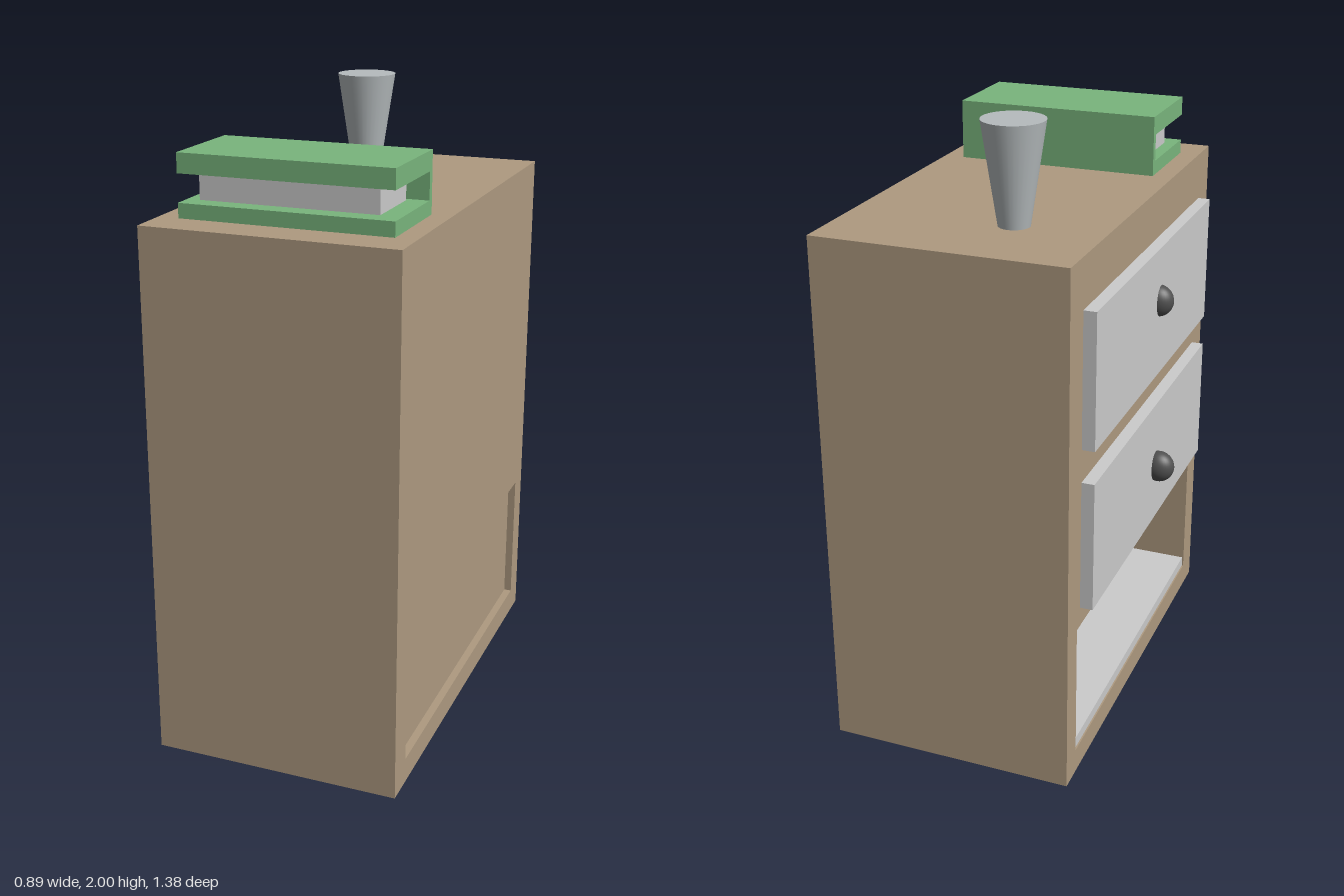
import * as THREE from 'three';

const mat = (color) => new THREE.MeshStandardMaterial({ color });

export function createModel() {
  const root = new THREE.Group();
  const brown = mat(0xae9a80), grey = mat(0xcccccc), green = mat(0x79b57d);
  const dark = mat(0x505050), glass = mat(0xb6bcbe);

  const add = (name, geometry, material, parent = root) => {
    const mesh = new THREE.Mesh(geometry, material);
    mesh.name = name;
    parent.add(mesh);
    return mesh;
  };
  // Box given by its lower and upper limits on each axis
  const box = (name, [x0, x1], [y0, y1], [z0, z1], material, parent) => {
    const g = new THREE.BoxGeometry(x1 - x0, y1 - y0, z1 - z0);
    g.translate((x0 + x1) / 2, (y0 + y1) / 2, (z0 + z1) / 2);
    return add(name, g, material, parent);
  };
  const rect = (path, a0, a1, b0, b1) =>
    path.moveTo(a0, b0).lineTo(a1, b0).lineTo(a1, b1).lineTo(a0, b1).closePath();

  // Cabinet body, with the lower compartment cut through along x
  const cabinet = new THREE.Group();
  cabinet.name = 'cabinet';
  root.add(cabinet);
  const side = new THREE.Shape();
  rect(side, -0.69, 0.69, 0, 1.69);
  const opening = new THREE.Path();
  rect(opening, -0.595, 0.61, 0.08, 0.52);
  side.holes.push(opening);
  const body = new THREE.ExtrudeGeometry(side, { depth: 0.79, bevelEnabled: false });
  body.rotateY(Math.PI / 2).translate(-0.345, 0, 0);
  add('cabinetBody', body, brown, cabinet);
  box('recessedPanel', [0.39, 0.42], [0.08, 0.52], [-0.61, 0.595], brown, cabinet);
  box('compartmentFloor', [-0.34, 0.39], [0.08, 0.115], [-0.61, 0.595], grey, cabinet);

  // Two drawers with knobs on the -x side
  const drawers = [
    { name: 'upperDrawer', y: [1.11, 1.535], knobX: -0.375, knobY: 1.357 },
    { name: 'lowerDrawer', y: [0.585, 1.005], knobX: -0.397, knobY: 0.78 },
  ];
  for (const d of drawers) {
    const drawer = new THREE.Group();
    drawer.name = d.name;
    root.add(drawer);
    box('drawerFront', [-0.385, -0.345], d.y, [-0.585, 0.58], grey, drawer);
    const knob = add('knob', new THREE.SphereGeometry(1, 32, 20), dark, drawer);
    knob.scale.set(0.052, 0.052, 0.042);
    knob.position.set(d.knobX, d.knobY, 0.03);
  }

  // Book lying on the cabinet, spine towards the back
  const book = new THREE.Group();
  book.name = 'book';
  root.add(book);
  box('lowerCover', [-0.28, 0.38], [1.69, 1.735], [0.25, 0.565], green, book);
  box('upperCover', [-0.28, 0.38], [1.82, 1.88], [0.25, 0.565], green, book);
  box('spine', [-0.28, 0.38], [1.735, 1.82], [0.25, 0.272], green, book);
  box('pages', [-0.24, 0.315], [1.735, 1.82], [0.29, 0.505], grey, book);

  // Tapered cup
  add('cup', new THREE.CylinderGeometry(0.095, 0.048, 0.31, 32), glass)
    .position.set(-0.065, 1.845, -0.395);

  return root;
}
